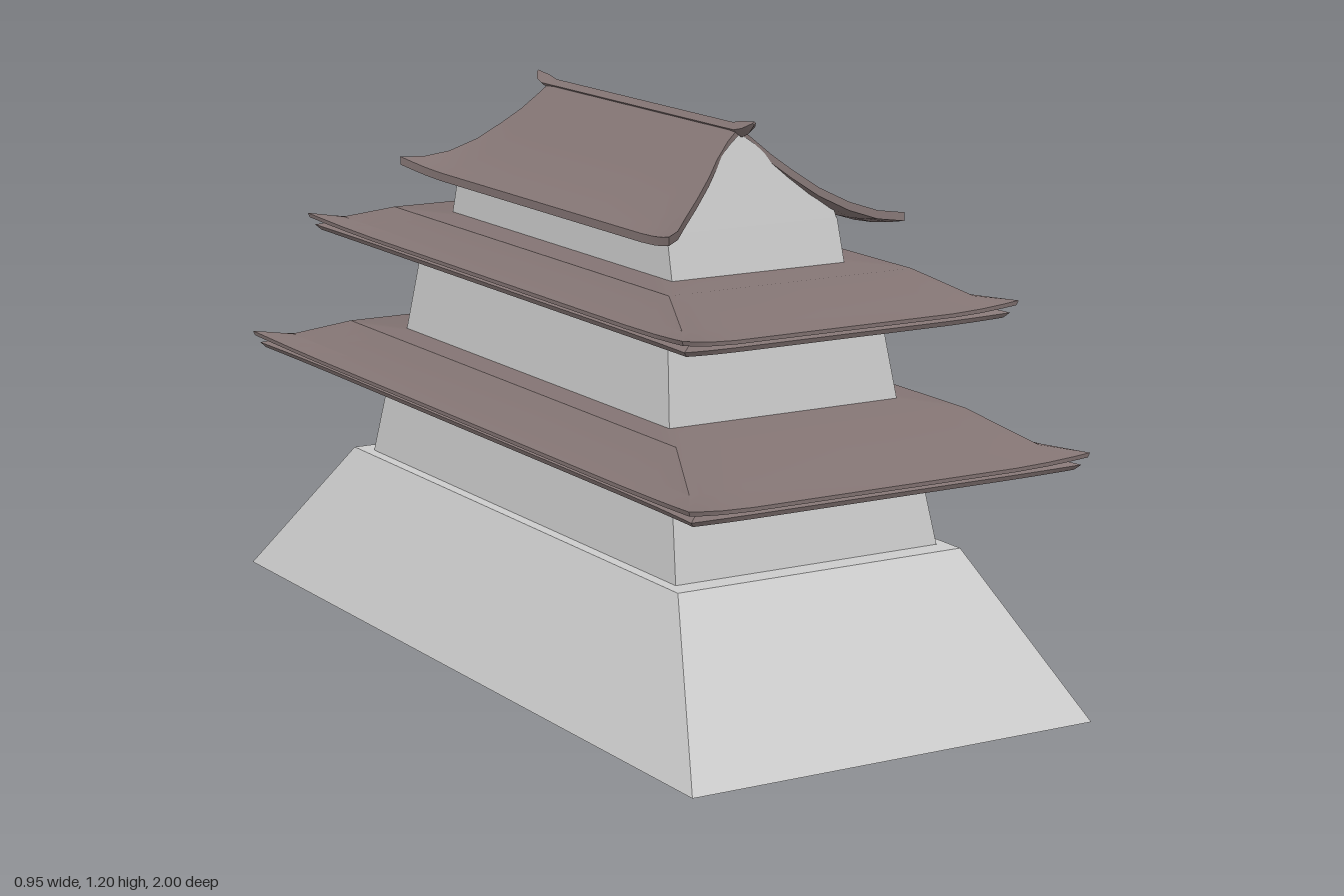
import * as THREE from 'three';
import { toCreasedNormals } from 'three/addons/utils/BufferGeometryUtils.js';

const stone = new THREE.MeshStandardMaterial({ color: 0xcccccc, side: THREE.DoubleSide });
const tile = new THREE.MeshStandardMaterial({ color: 0x837473, side: THREE.DoubleSide });

// Skin a list of closed rings (each an array of [x, y, z])
function skin(rings) {
  const pos = [];
  for (let i = 0; i < rings.length - 1; i++) {
    const n = rings[i].length;
    for (let j = 0; j < n; j++) {
      const k = (j + 1) % n;
      const a = rings[i][j], b = rings[i][k], c = rings[i + 1][k], d = rings[i + 1][j];
      pos.push(...a, ...b, ...c, ...a, ...c, ...d);
    }
  }
  const g = new THREE.BufferGeometry();
  g.setAttribute('position', new THREE.Float32BufferAttribute(pos, 3));
  return toCreasedNormals(g, 0.4);
}

// Rectangular ring whose corners can sweep outward (flare) and upward (lift)
function rectRing(a, b, y, flare = 0, lift = 0, steps = [-1, -0.94, -0.85, -0.7, 0, 0.7, 0.85, 0.94]) {
  const ring = [];
  for (let side = 0; side < 4; side++) {
    for (const u of steps) {
      const [px, pz] = [[1, -u], [-u, -1], [-1, u], [u, 1]][side];
      const f = Math.max(0, (Math.abs(u) - 0.7) / 0.3) ** 2;
      const sweep = (half, p) => half * p + Math.sign(p) * flare * f;
      ring.push([sweep(a, px), y + lift * f, sweep(b, pz)]);
    }
  }
  return ring;
}

function add(group, name, geometry, material) {
  const mesh = new THREE.Mesh(geometry, material);
  mesh.name = name;
  group.add(mesh);
  return mesh;
}

// Straight tapering walls through a list of [halfX, halfZ, y]
const walls = (...levels) => skin(levels.map(([a, b, y]) => rectRing(a, b, y, 0, 0, [-1])));

// Hipped skirt roof: wall, top edge and eave half sizes, eave and top heights
function skirtRoof([wa, wb], [ta, tb], [ea, eb], y, top) {
  const mix = (p, q, t) => p + (q - p) * t;
  return skin([
    rectRing(0, 0, top - 0.02),
    rectRing(wa * 0.93, wb * 0.96, top - 0.02),
    rectRing(wa, wb, y - 0.008),
    // lower eave layer
    rectRing(ea - 0.014, eb - 0.014, y - 0.027, 0.02, 0.008),
    rectRing(ea - 0.01, eb - 0.01, y - 0.017, 0.026, 0.009),
    rectRing(ea - 0.03, eb - 0.03, y - 0.011, 0.02, 0.01),
    // upper eave layer and concave slope
    rectRing(ea, eb, y - 0.008, 0.025, 0.016),
    rectRing(ea, eb, y, 0.028, 0.018),
    rectRing(mix(ta, ea, 0.62), mix(tb, eb, 0.68), mix(top, y, 0.76), 0.008, 0.004),
    rectRing(ta, tb, top),
    rectRing(0, 0, top),
  ]);
}

// Upper roof half profile: [x, y, z of the rake end]
const rake = [[0, 1.18, 0.395], [0.03, 1.155, 0.4], [0.065, 1.122, 0.415], [0.1, 1.09, 0.44],
  [0.145, 1.052, 0.468], [0.19, 1.02, 0.5], [0.225, 1.0, 0.535], [0.257, 0.99, 0.56]];

function gableRoof() {
  const line = [...rake.slice(1).reverse().map(([x, y, z]) => [-x, y, z]), ...rake];
  const rings = [-1, -0.95, -0.88, -0.78, -0.4, 0, 0.4, 0.78, 0.88, 0.95, 1].map((v) => {
    const f = Math.max(0, (Math.abs(v) - 0.78) / 0.22) ** 2;
    const place = (drop) => ([x, y, z]) => {
      const e = (Math.abs(x) / 0.257) ** 4 * f;
      return [x + Math.sign(x) * 0.024 * e, y - drop + 0.018 * e, v * z + Math.sign(v) * 0.025 * e];
    };
    return [...line.map(place(0)).reverse(), ...line.map(place(0.018))];
  });
  // Close both rake ends by folding the section onto its underside
  const fold = (r) => r.map((p, i) => (i < r.length / 2 ? r[r.length - 1 - i] : p));
  return skin([fold(rings[0]), ...rings, fold(rings[rings.length - 1])]);
}

// Ridge beam of diamond section with upswept ends: [z, centre y, half width, half height]
function ridge() {
  const half = [[0.37, 1.176, 0.013, 0.012], [0.405, 1.178, 0.02, 0.017],
    [0.43, 1.184, 0.016, 0.013], [0.452, 1.196, 0.004, 0.004], [0.452, 1.196, 0, 0]];
  const stations = [...half.map(([z, ...r]) => [-z, ...r]).reverse(), ...half];
  return skin(stations.map(([z, y, w, h]) => [[w, y, z], [0, y + h, z], [-w, y, z], [0, y - h, z]]));
}

// Leaning gable panel under the upper roof
function gable() {
  const shape = new THREE.Shape();
  const edge = [[0.205, 0.98], [0.2, 1.003], [0.145, 1.043], [0.1, 1.08], [0.03, 1.146], [0, 1.168]];
  edge.forEach(([x, y], i) => (i ? shape.lineTo(x, y) : shape.moveTo(x, y)));
  edge.slice(0, -1).reverse().forEach(([x, y]) => shape.lineTo(-x, y));
  const g = new THREE.ShapeGeometry(shape);
  const p = g.attributes.position;
  for (let i = 0; i < p.count; i++) p.setZ(i, 0.45 - 0.28 * (p.getY(i) - 0.98));
  g.computeVertexNormals();
  return g;
}

export function createModel() {
  const model = new THREE.Group();
  model.name = 'castleKeep';

  // Hollow sloping base with a ledge, and the first storey rising from it
  add(model, 'stoneBase', walls([0.475, 1, 0], [0.34, 0.72, 0.32], [0.315, 0.67, 0.32]), stone);
  add(model, 'lowerStorey', walls([0.315, 0.67, 0.32], [0.293, 0.615, 0.535]), stone);
  add(model, 'lowerRoof', skirtRoof([0.293, 0.615], [0.345, 0.72], [0.443, 0.95], 0.542, 0.617), tile);

  add(model, 'middleStorey', walls([0.275, 0.578, 0.61], [0.253, 0.533, 0.825]), stone);
  add(model, 'middleRoof', skirtRoof([0.253, 0.533], [0.29, 0.6], [0.368, 0.8], 0.836, 0.893), tile);

  // Top storey with its two gables
  add(model, 'upperStorey', walls([0.208, 0.477, 0.885], [0.205, 0.45, 0.985]), stone);
  add(model, 'frontGable', gable(), stone);
  add(model, 'backGable', gable(), stone).rotation.y = Math.PI;

  add(model, 'upperRoof', gableRoof(), tile);
  add(model, 'ridgeBeam', ridge(), tile);
  return model;
}
